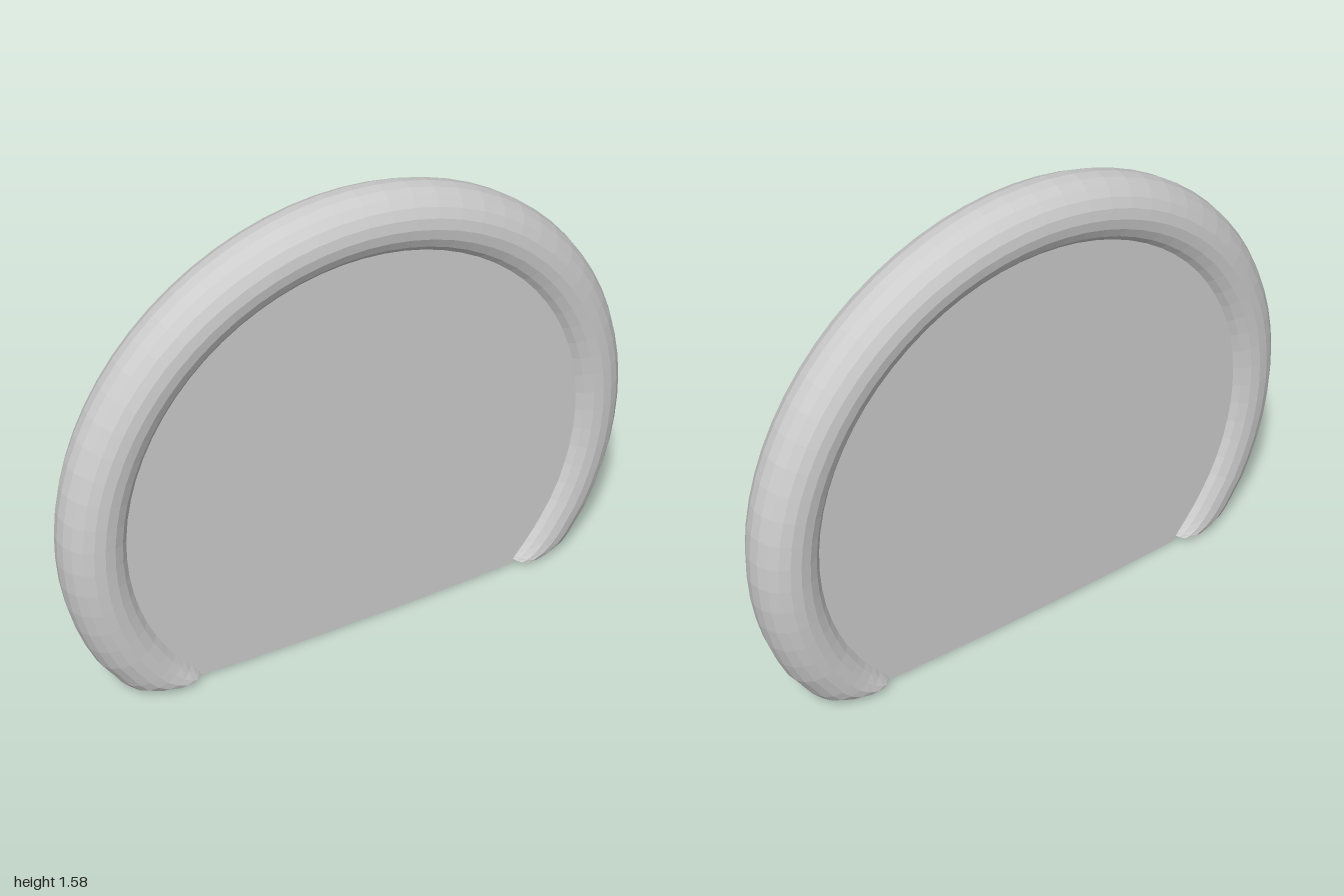
import * as THREE from 'three';

const CY = 0.58;      // centre height of the arch
const R = 0.89;       // radius of the rim's centre line
const TUBE = 0.11;    // radius of the rim's section
const SIDES = 20;

const onArc = (r, deg) => {
  const a = THREE.MathUtils.degToRad(deg);
  return [r * Math.cos(a), CY + r * Math.sin(a)];
};

// Each ring is given by its outer point, inner point and half depth
function rimRings() {
  const end = [
    [[0.872, 0.105], onArc(0.78, -31), 0.11],
    [[0.845, 0.06], onArc(0.78, -34), 0.11],
    [[0.815, 0.028], onArc(0.78, -37), 0.11],
    [[0.77, 0.011], onArc(0.785, -40), 0.11],
    [[0.72, 0.006], onArc(0.79, -42.5), 0.108],
    [[0.68, 0.008], onArc(0.795, -43.5), 0.102],
  ];
  const mirrored = end.map(([o, i, d]) => [[-o[0], o[1]], [-i[0], i[1]], d]);
  const arch = [];
  const steps = 46;
  for (let k = 0; k <= steps; k++) {
    const deg = -25 + (230 * k) / steps;
    arch.push([onArc(R + TUBE, deg), onArc(R - TUBE, deg), TUBE]);
  }
  return [...end.reverse(), ...arch, ...mirrored];
}

// Skin of elliptical sections swept through the rings, open at both ends
function rimGeometry() {
  const rings = rimRings();
  const pos = [], index = [];
  rings.forEach(([o, i, depth], r) => {
    for (let s = 0; s < SIDES; s++) {
      const a = (s / SIDES) * Math.PI * 2;
      const t = (1 + Math.cos(a)) / 2;
      pos.push(i[0] + (o[0] - i[0]) * t, i[1] + (o[1] - i[1]) * t, depth * Math.sin(a));
      if (r < rings.length - 1) {
        const n = (s + 1) % SIDES, p = r * SIDES, q = p + SIDES;
        index.push(p + s, q + s, p + n, p + n, q + s, q + n);
      }
    }
  });
  const g = new THREE.BufferGeometry();
  g.setAttribute('position', new THREE.Float32BufferAttribute(pos, 3));
  g.setIndex(index);
  g.computeVertexNormals();
  return g;
}

// Flat slab filling the arch, with a slightly bowed bottom edge
function panelGeometry() {
  const a = THREE.MathUtils.degToRad(-40);
  const shape = new THREE.Shape();
  shape.moveTo(0.58, 0.012);
  shape.absarc(0, CY, 0.83, a, Math.PI - a, false);
  shape.lineTo(-0.58, 0.012);
  shape.quadraticCurveTo(0, -0.012, 0.58, 0.012);
  const g = new THREE.ExtrudeGeometry(shape, { depth: 0.14, bevelEnabled: false, curveSegments: 40 });
  g.translate(0, 0, -0.07);
  return g;
}

export function createModel() {
  const group = new THREE.Group();
  group.name = 'archedPanel';

  const rim = new THREE.Mesh(rimGeometry(), new THREE.MeshStandardMaterial({
    color: 0xcccccc, flatShading: true, side: THREE.DoubleSide,
  }));
  rim.name = 'rim';

  const panel = new THREE.Mesh(panelGeometry(), new THREE.MeshStandardMaterial({ color: 0xcccccc }));
  panel.name = 'panel';

  group.add(rim, panel);
  return group;
}
